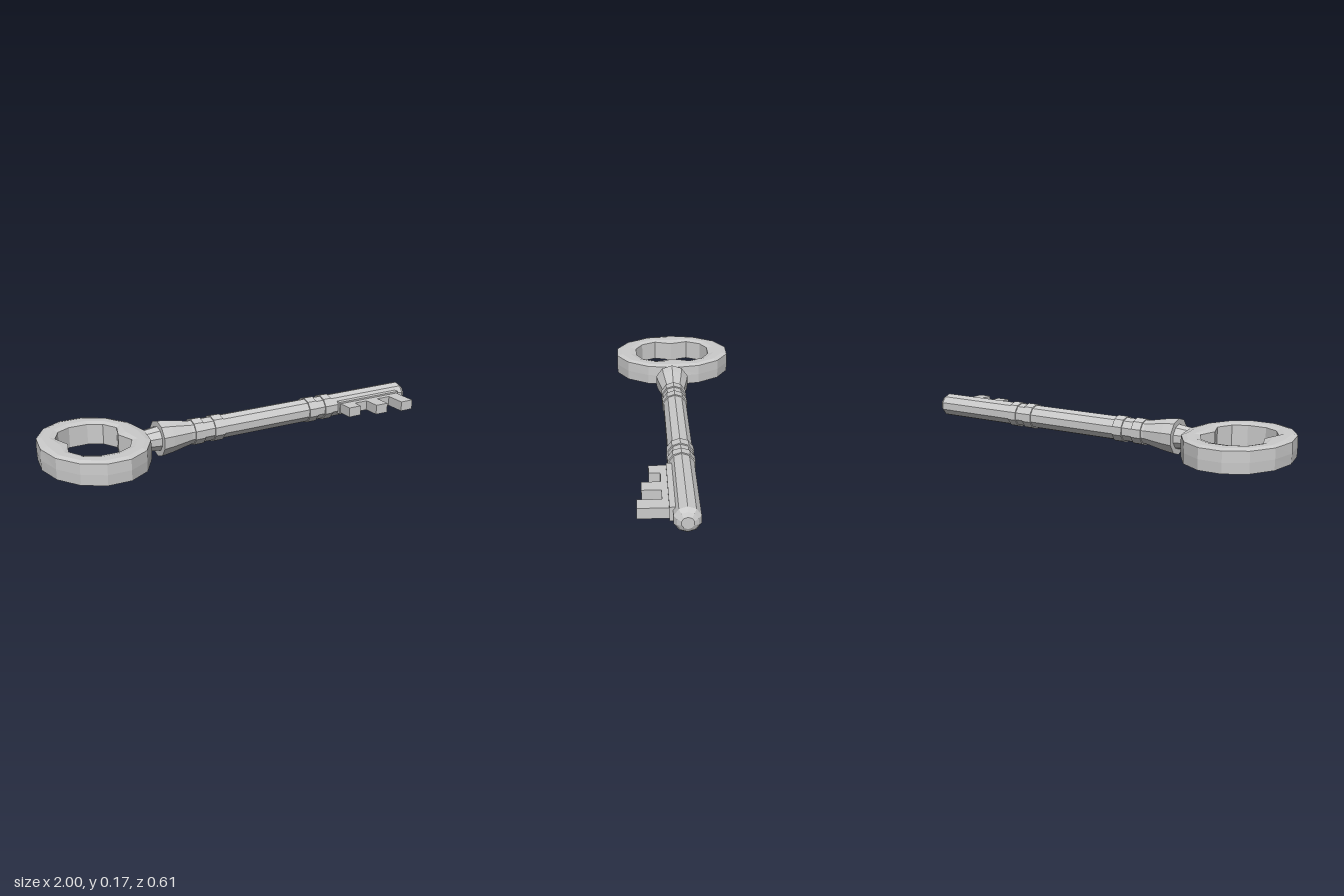
import * as THREE from 'three';

const AXIS_Y = 0.09, AXIS_Z = 0.0125;
const material = new THREE.MeshStandardMaterial({ color: 0xcccccc, flatShading: true });

function addMesh(group, name, geometry) {
  const mesh = new THREE.Mesh(geometry, material);
  mesh.name = name;
  group.add(mesh);
  return mesh;
}

// Ten-sided turned part along x; the profile lists [x, radius]
function turned(profile) {
  const geo = new THREE.LatheGeometry(profile.map(([x, r]) => new THREE.Vector2(r, x)), 10, Math.PI / 2);
  return geo.rotateZ(-Math.PI / 2).translate(0, AXIS_Y, AXIS_Z);
}

function boxFromTo(x0, x1, y0, y1, z0, z1) {
  return new THREE.BoxGeometry(x1 - x0, y1 - y0, z1 - z0)
    .translate((x0 + x1) / 2, (y0 + y1) / 2, (z0 + z1) / 2);
}

// Oval handle with 14 sides: blends the inner outline into the outer one
function bowGeometry() {
  const sides = 14;
  // One quarter of the hole; the first point is the inward bump
  const quarter = [[0.12, 0], [0.15, 0.09], [0.11, 0.165], [0.045, 0.2]];
  const inner = (k) => {
    const half = k % 7, flipHalf = k >= 7 ? -1 : 1;
    const [x, z] = half <= 3 ? quarter[half] : quarter[7 - half];
    return [(half <= 3 ? x : -x) * flipHalf, z * flipHalf];
  };
  // Cross-section: [blend from inner to outer, height from the middle]
  const section = [[0, -0.05], [0.3, -0.057], [0.72, -0.057], [0.98, -0.05], [1, 0],
    [0.98, 0.05], [0.72, 0.057], [0.3, 0.057], [0, 0.05]];
  const pos = [], index = [], n = section.length;
  for (let k = 0; k < sides; k++) {
    const a = (k / sides) * Math.PI * 2;
    const [ix, iz] = inner(k);
    const ox = 0.25 * Math.cos(a), oz = 0.315 * Math.sin(a);
    for (const [t, h] of section) pos.push(-0.75 + ix + (ox - ix) * t, AXIS_Y + h, iz + (oz - iz) * t);
    for (let j = 0; j < n; j++) {
      const j2 = (j + 1) % n, k2 = (k + 1) % sides;
      const p = k * n + j, q = k * n + j2, r = k2 * n + j2, s = k2 * n + j;
      index.push(p, q, r, p, r, s);
    }
  }
  const geo = new THREE.BufferGeometry();
  geo.setAttribute('position', new THREE.Float32BufferAttribute(pos, 3));
  geo.setIndex(index);
  geo.computeVertexNormals();
  return geo;
}

export function createModel() {
  const key = new THREE.Group();
  key.name = 'key';

  addMesh(key, 'bow', bowGeometry());

  // Neck, flared collar, stem and rounded tip
  addMesh(key, 'stem', turned([
    [-0.53, 0], [-0.53, 0.048], [-0.44, 0.06], [-0.44, 0.0875], [-0.385, 0.08],
    [-0.28, 0.059], [0.97, 0.059], [0.99, 0.045], [1, 0.027], [1, 0],
  ]));

  // Raised bands in two pairs
  const bands = [[-0.265, -0.215], [-0.16, -0.11], [0.38, 0.43], [0.475, 0.52]];
  bands.forEach(([a, b], i) =>
    addMesh(key, `band${i + 1}`, turned([[a, 0], [a, 0.065], [b, 0.065], [b, 0]])));

  // Bit: base plate, connecting bar and three teeth
  addMesh(key, 'bitPlate', boxFromTo(0.555, 0.93, 0.06, 0.123, 0.03, 0.083));
  addMesh(key, 'bitBar', boxFromTo(0.56, 0.92, 0.066, 0.115, 0.05, 0.11));
  const teeth = [[0.56, 0.63, 0.16], [0.705, 0.775, 0.193], [0.85, 0.92, 0.214]];
  teeth.forEach(([a, b, z], i) =>
    addMesh(key, `tooth${i + 1}`, boxFromTo(a, b, 0.066, 0.115, 0.1, z)));

  return key;
}
